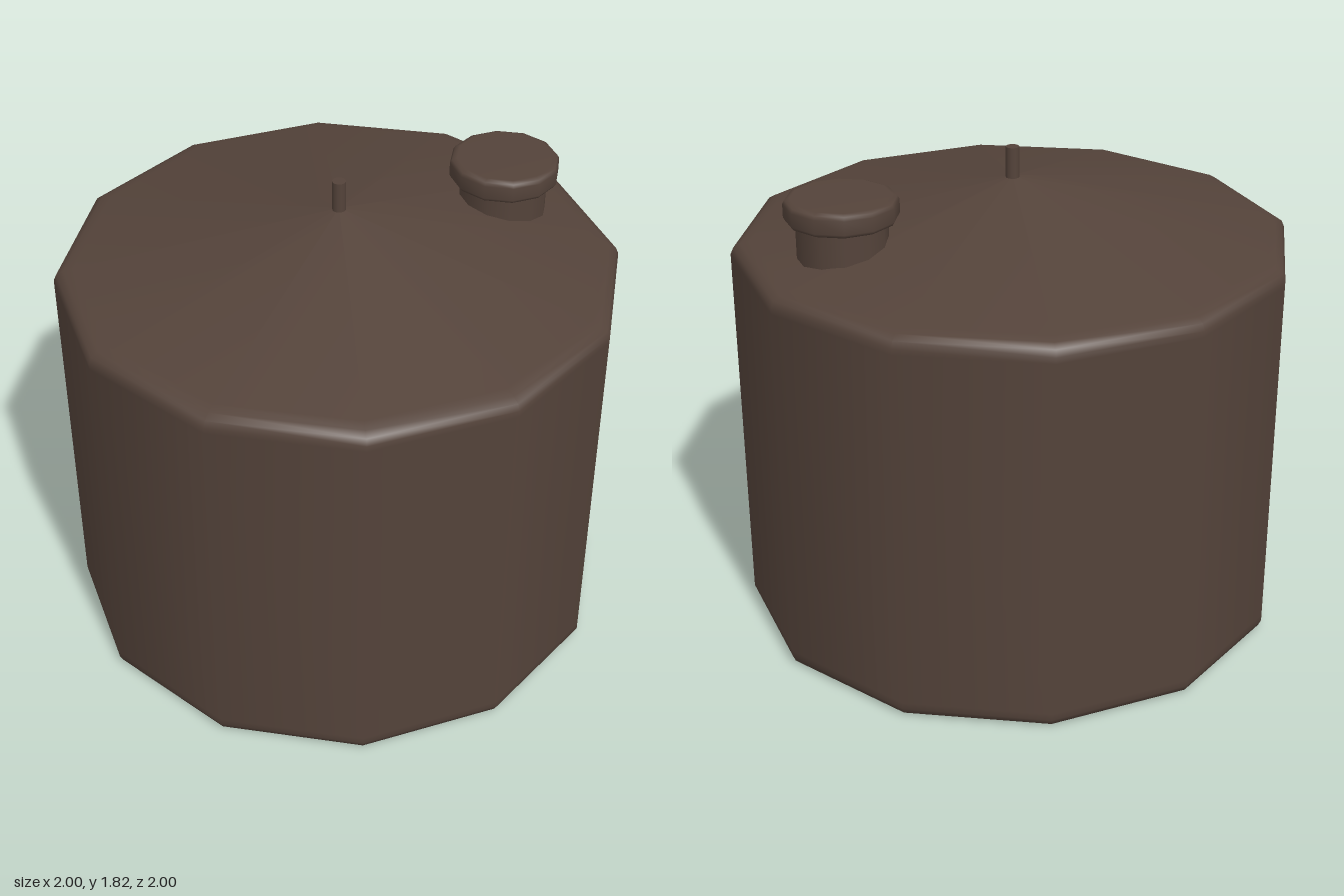
import * as THREE from 'three';

const SIDES = 12;
// Circumradius of a 12-sided ring whose flats lie at distance 1
const FLAT = 1 / Math.cos(Math.PI / SIDES);

export function createModel() {
  const model = new THREE.Group();
  model.name = 'storageTank';
  const brown = new THREE.MeshStandardMaterial({ color: 0x54433a });
  brown.name = 'dark brown';

  // Smooth twelve-sided turned part; radii are measured to the flats
  function turned(name, profile) {
    const points = profile.map(([r, y]) => new THREE.Vector2(r * FLAT, y));
    const mesh = new THREE.Mesh(new THREE.LatheGeometry(points, SIDES, Math.PI / SIDES), brown);
    mesh.name = name;
    model.add(mesh);
    return mesh;
  }

  // Tank shell: flat floor, rounded rims, straight wall and conical roof
  turned('tankShell', [
    [0, 0], [0.94, 0], [0.965, 0.002], [0.99, 0.012], [1, 0.035], [1, 0.06],
    [1, 1.43], [1, 1.452], [0.99, 1.476], [0.965, 1.491], [0.93, 1.499], [0, 1.705],
  ]);

  // Filler neck, sunk into the roof
  const neck = turned('fillerNeck', [[0.158, 1.46], [0.158, 1.67]]);

  // Lid with bevelled rims
  const lid = turned('fillerLid', [
    [0, 1.655], [0.172, 1.655], [0.19, 1.663], [0.197, 1.675],
    [0.197, 1.725], [0.19, 1.738], [0.172, 1.745], [0, 1.745],
  ]);
  for (const part of [neck, lid]) part.position.set(0.676, 0, -0.07);

  // Vent pin on the apex
  const pin = new THREE.Mesh(new THREE.CylinderGeometry(0.025, 0.025, 0.136, 12), brown);
  pin.name = 'ventPin';
  pin.position.y = 1.748;
  model.add(pin);

  return model;
}
